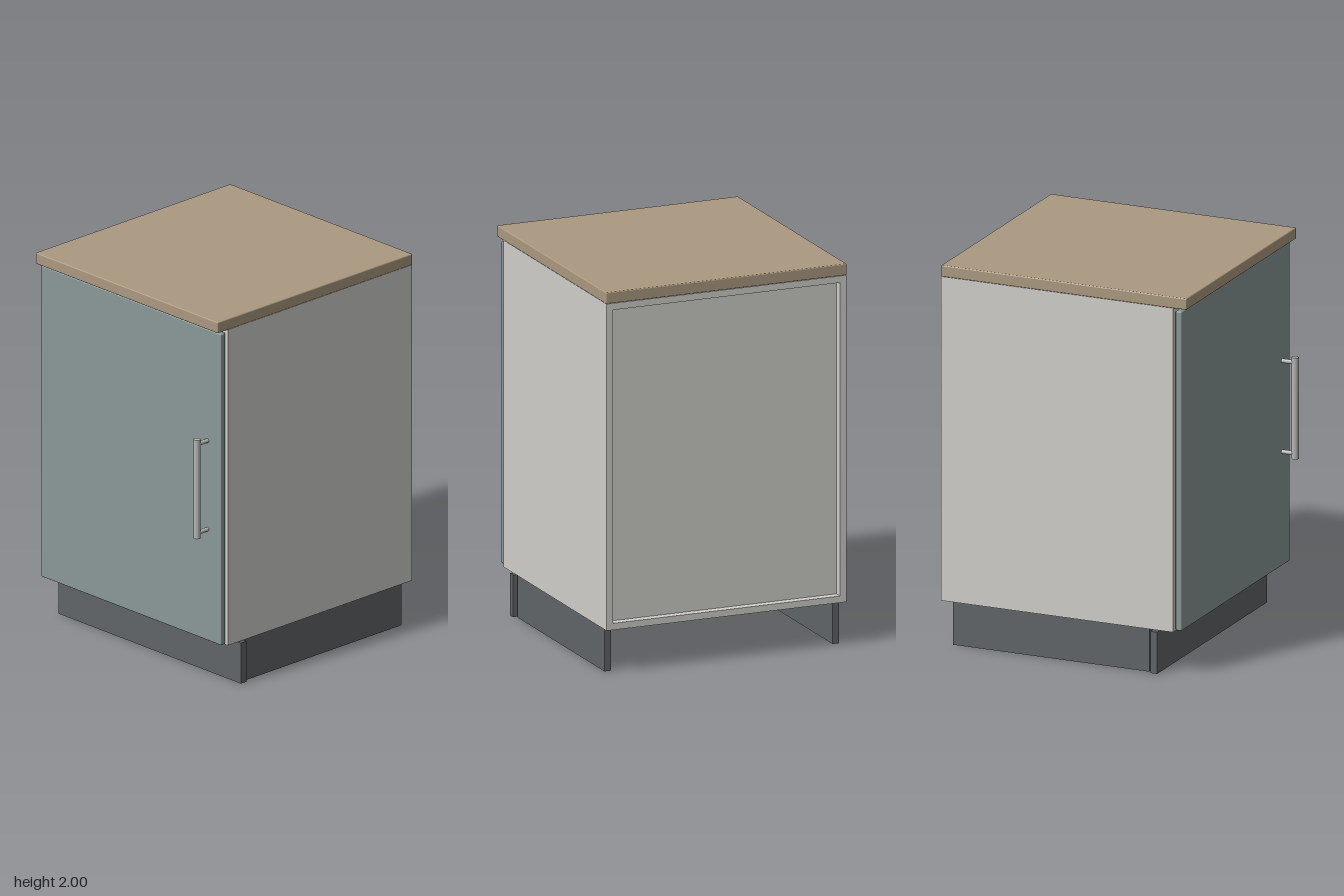
import * as THREE from 'three';
import { RoundedBoxGeometry } from 'three/addons/geometries/RoundedBoxGeometry.js';

const paint = (color) => new THREE.MeshStandardMaterial({ color });

export function createModel() {
  const cabinet = new THREE.Group();
  cabinet.name = 'cabinet';
  const white = paint(0xd0cfcb), wood = paint(0xab9980), teal = paint(0x8a9897);
  const dark = paint(0x606468), steel = paint(0xb4b4b6);

  // Board given by its min and max corners; bevel softens the edges
  function board(name, material, [x0, y0, z0], [x1, y1, z1], bevel = 0) {
    const size = [x1 - x0, y1 - y0, z1 - z0];
    const geometry = bevel ? new RoundedBoxGeometry(...size, 2, bevel) : new THREE.BoxGeometry(...size);
    const mesh = new THREE.Mesh(geometry, material);
    mesh.position.set((x0 + x1) / 2, (y0 + y1) / 2, (z0 + z1) / 2);
    mesh.name = name;
    cabinet.add(mesh);
  }

  const W = 0.66, T = 0.035, back = -0.71, front = 0.575, low = 0.23, high = 1.94;

  // Carcass: sides, floor, top and recessed back panel
  board('rightSide', white, [-W, low, back], [-W + T, high, front]);
  board('leftSide', white, [W - T, low, back], [W, high, front]);
  board('floorPanel', white, [-W + T, low, back], [W - T, low + T, front]);
  board('topPanel', white, [-W + T, high - T, back], [W - T, high, front]);
  board('backPanel', white, [-W + T, low + T, back + 0.045], [W - T, high - T, back + 0.06]);

  // Worktop and door
  board('worktop', wood, [-0.663, high, back], [0.663, 2, 0.65], 0.006);
  board('door', teal, [-0.655, 0.24, 0.585], [0.655, 1.925, 0.62], 0.007);

  // Plinth: front board and two side boards, open at the back
  board('plinthFront', dark, [-0.663, 0.005, 0.45], [0.663, 0.225, 0.488]);
  board('plinthRight', dark, [-0.645, 0.005, -0.65], [-0.61, low, 0.437]);
  board('plinthLeft', dark, [0.61, 0.005, -0.65], [0.645, low, 0.437]);

  // Bar handle on two posts
  const handle = new THREE.Group();
  handle.name = 'handle';
  handle.position.set(0.558, 1.083, 0.62);
  const bar = new THREE.Mesh(new THREE.CylinderGeometry(0.018, 0.018, 0.535, 24), steel);
  bar.name = 'handleBar';
  bar.position.z = 0.073;
  handle.add(bar);
  for (const side of [-1, 1]) {
    const post = new THREE.Mesh(new THREE.CylinderGeometry(0.011, 0.011, 0.075, 16), steel);
    post.name = side < 0 ? 'lowerPost' : 'upperPost';
    post.rotation.x = Math.PI / 2;
    post.position.set(0, side * 0.24, 0.0355);
    handle.add(post);
  }
  cabinet.add(handle);

  // Stand on the ground
  cabinet.children.forEach((part) => {
    if (part.name.startsWith('plinth')) part.position.y -= 0.005;
  });
  cabinet.getObjectByName('plinthRight').scale.y = 230 / 225;
  cabinet.getObjectByName('plinthLeft').scale.y = 230 / 225;
  cabinet.getObjectByName('plinthRight').position.y = low / 2;
  cabinet.getObjectByName('plinthLeft').position.y = low / 2;
  return cabinet;
}
